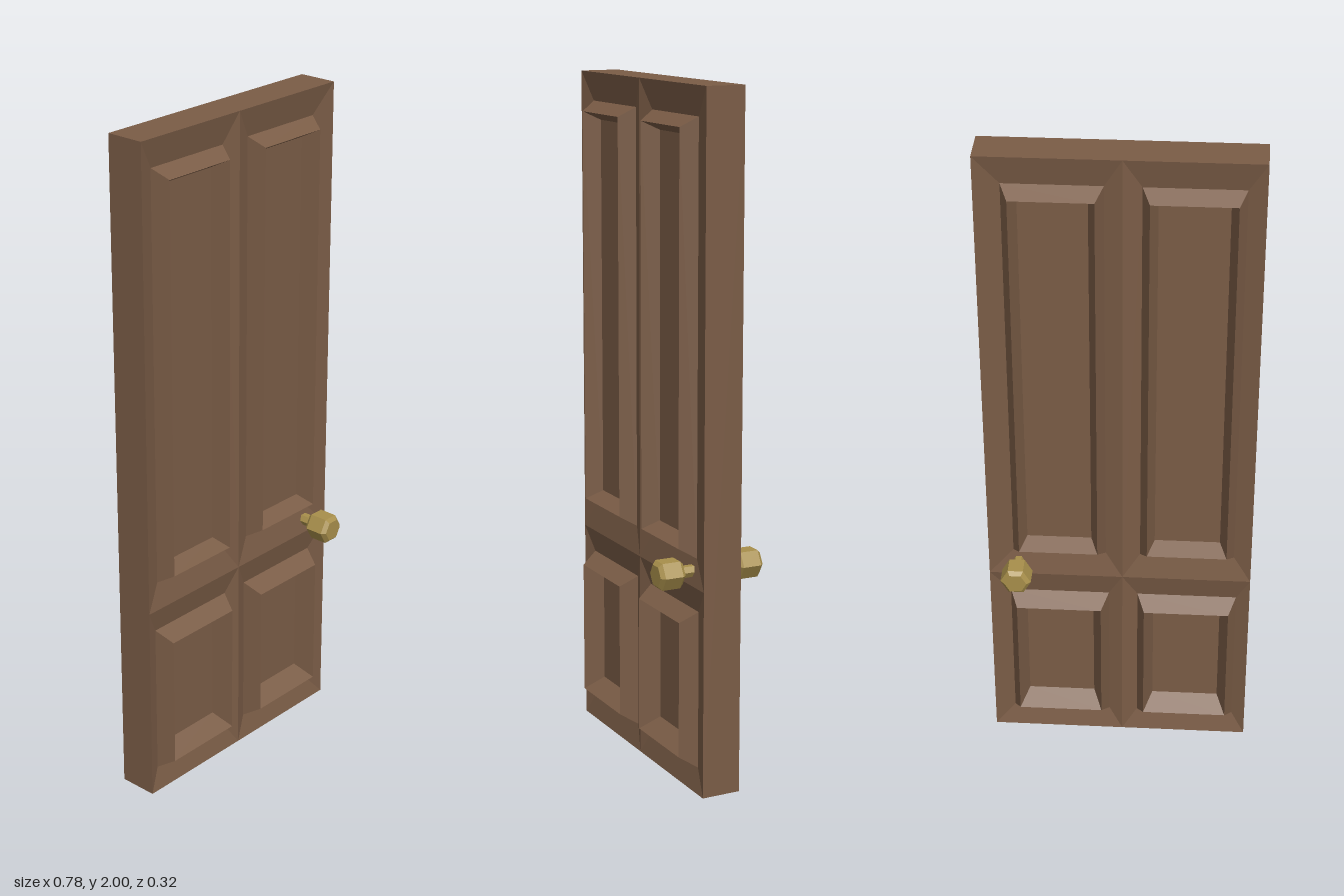
import * as THREE from 'three';

const X = 0.39, TOP = 2, FRONT = 0.055, BACK = -0.062;
const MID_X = -0.008, MID_Y = 0.61;

const wood = new THREE.MeshStandardMaterial({ color: 0x7a5c46, flatShading: true });
const brass = new THREE.MeshStandardMaterial({ color: 0xa88f4b, flatShading: true });

// Shrinks a rectangle [x0, x1, y0, y1]
const inset = ([x0, x1, y0, y1], dx, dy) => [x0 + dx, x1 - dx, y0 + dy, y1 - dy];

// Corners of a rectangle, counter-clockwise from the front
const corners = ([x0, x1, y0, y1], z) => [[x0, y0, z], [x1, y0, z], [x1, y1, z], [x0, y1, z]];

// Joins nested rectangles into a stepped panel; side is 1 for front, -1 for back
function panelGeometry(loops, side) {
  const pos = [];
  const quad = (a, b, c, d) => {
    const p = side > 0 ? [a, b, c, a, c, d] : [a, c, b, a, d, c];
    p.forEach(v => pos.push(...v));
  };
  for (let k = 0; k < loops.length - 1; k++) {
    for (let i = 0; i < 4; i++) {
      const j = (i + 1) % 4;
      quad(loops[k][i], loops[k][j], loops[k + 1][j], loops[k + 1][i]);
    }
  }
  quad(...loops[loops.length - 1]);
  const geometry = new THREE.BufferGeometry();
  geometry.setAttribute('position', new THREE.Float32BufferAttribute(pos, 3));
  geometry.computeVertexNormals();
  return geometry;
}

function add(parent, name, geometry, material) {
  const mesh = new THREE.Mesh(geometry, material);
  mesh.name = name;
  parent.add(mesh);
  return mesh;
}

// Outer cell, moulding foot, insets to the ridge and the field, ridge height and field depth
const panels = [
  { name: 'upperRightPanel', cell: [-X, MID_X, MID_Y, TOP], foot: [-0.339, -0.06, 0.688, 1.915] },
  { name: 'upperLeftPanel', cell: [MID_X, X, MID_Y, TOP], foot: [0.042, 0.318, 0.688, 1.915] },
  { name: 'lowerRightPanel', cell: [-X, MID_X, 0, MID_Y], foot: [-0.35, -0.053, 0.069, 0.535] },
  { name: 'lowerLeftPanel', cell: [MID_X, X, 0, MID_Y], foot: [0.033, 0.33, 0.069, 0.535] },
];
const upper = { ridge: [0.022, 0.028], field: [0.043, 0.053], height: 0.031, depth: 0.018 };
const lower = { ridge: [0.022, 0.032], field: [0.048, 0.069], height: 0.035, depth: 0.022 };

export function createModel() {
  const group = new THREE.Group();
  group.name = 'door';

  // Four edges of the door leaf
  const edges = new THREE.Group();
  edges.name = 'doorEdges';
  group.add(edges);
  const thick = FRONT - BACK, midZ = (FRONT + BACK) / 2;
  for (const s of [-1, 1]) {
    const side = add(edges, s > 0 ? 'leftEdge' : 'rightEdge', new THREE.PlaneGeometry(thick, TOP), wood);
    side.rotation.y = s * Math.PI / 2;
    side.position.set(s * X, TOP / 2, midZ);
    const end = add(edges, s > 0 ? 'topEdge' : 'bottomEdge', new THREE.PlaneGeometry(2 * X, thick), wood);
    end.rotation.x = -s * Math.PI / 2;
    end.position.set(0, s > 0 ? TOP : 0, midZ);
  }

  // Panels on both faces: sloped frame, raised moulding and sunken field
  for (const side of [1, -1]) {
    const face = side > 0 ? FRONT : BACK;
    for (const { name, cell, foot } of panels) {
      const p = name.startsWith('upper') ? upper : lower;
      const loops = [
        corners(cell, face),
        corners(foot, face - side * 0.016),
        corners(inset(foot, ...p.ridge), face + side * p.height),
        corners(inset(foot, ...p.field), face - side * p.depth),
      ];
      add(group, (side > 0 ? 'front ' : 'back ') + name, panelGeometry(loops, side), wood);
    }
  }

  // Hexagonal knobs and their shaft
  const knobs = new THREE.Group();
  knobs.name = 'knobs';
  knobs.position.set(0.302, 0.65, 0);
  group.add(knobs);
  const profile = [[0, 0.084], [0.034, 0.084], [0.045, 0.095], [0.045, 0.15], [0.033, 0.161], [0, 0.161]]
    .map(([r, y]) => new THREE.Vector2(r, y));
  for (const side of [1, -1]) {
    const knob = add(knobs, side > 0 ? 'frontKnob' : 'backKnob', new THREE.LatheGeometry(profile, 6, Math.PI / 2), brass);
    knob.rotation.x = side * Math.PI / 2;
    if (side < 0) knob.position.z = -0.002;
  }
  const shaft = add(knobs, 'knobShaft', new THREE.CylinderGeometry(0.018, 0.018, 0.18, 6, 1, true, Math.PI / 2), brass);
  shaft.rotation.x = Math.PI / 2;

  return group;
}
